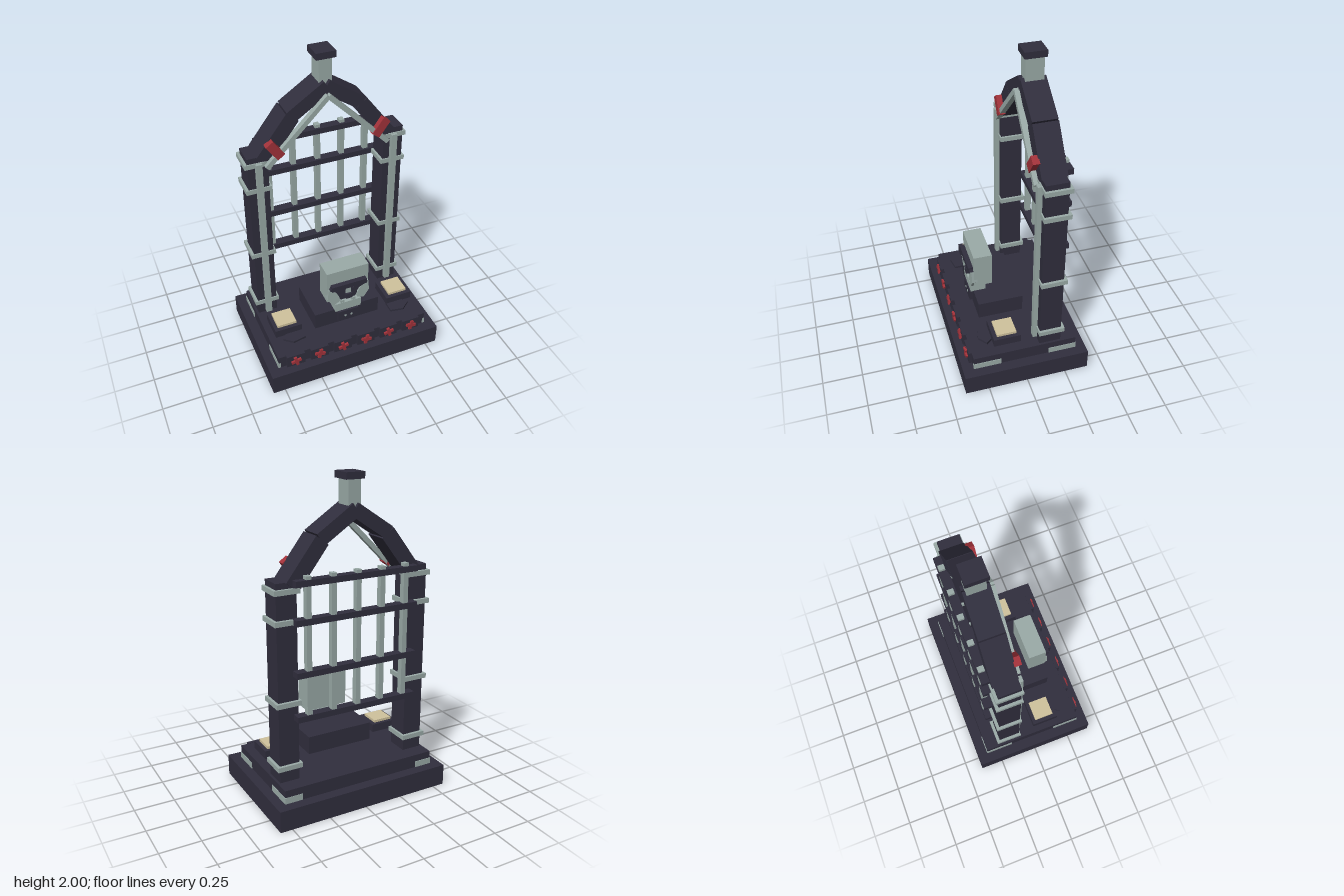
import * as THREE from 'three';

export function createModel() {
  const model = new THREE.Group();
  model.name = 'forgeGate';
  const mat = (name, color) => {
    const m = new THREE.MeshStandardMaterial({ color });
    m.name = name;
    return m;
  };
  const dark = mat('dark iron', 0x302e3d);
  const steel = mat('pale steel', 0x9aaaa7);
  const red = mat('red enamel', 0xa2323a);
  const tan = mat('sand', 0xcfc29c);

  // box given by its limits on each axis
  const box = (name, m, [x0, x1], [y0, y1], [z0, z1]) => {
    const b = new THREE.Mesh(new THREE.BoxGeometry(x1 - x0, y1 - y0, z1 - z0), m);
    b.position.set((x0 + x1) / 2, (y0 + y1) / 2, (z0 + z1) / 2);
    b.name = name;
    model.add(b);
    return b;
  };
  // bar running between two points in the front plane
  const beam = (name, m, [ax, ay], [bx, by], width, z) => {
    const h = Math.hypot(bx - ax, by - ay) / 2, x = (ax + bx) / 2, y = (ay + by) / 2;
    const b = box(name, m, [x - h, x + h], [y - width / 2, y + width / 2], z);
    b.rotation.z = Math.atan2(by - ay, bx - ax);
    return b;
  };
  // flat outline extruded along z
  const plate = (name, m, points, z0, z1) => {
    const shape = new THREE.Shape(points.map(([x, y]) => new THREE.Vector2(x, y)));
    const p = new THREE.Mesh(new THREE.ExtrudeGeometry(shape, { depth: z1 - z0, bevelEnabled: false }), m);
    p.position.z = z0;
    p.name = name;
    model.add(p);
    return p;
  };
  const span = (s, a, b) => (s > 0 ? [a, b] : [-b, -a]);

  // stepped base
  box('base', dark, [-0.577, 0.577], [0, 0.135], [-0.4, 0.4]);
  box('plinth', dark, [-0.512, 0.512], [0.135, 0.22], [-0.333, 0.33]);

  // front tiles with red crosses
  for (let i = 0; i < 6; i++) {
    const x = (i - 2.5) * 0.161;
    box('frontTile', dark, [x - 0.06, x + 0.06], [0.138, 0.222], [0.325, 0.35]);
    const a = 0.25 * (i % 2 ? -1 : 1);
    for (const turn of [a, a + Math.PI / 2]) {
      const bar = box('crossBar', red, [x - 0.034, x + 0.034], [0.169, 0.189], [0.348, 0.363]);
      bar.rotation.z = turn;
    }
  }

  for (const s of [-1, 1]) {
    // plinth corner plates
    box('cornerPlate', steel, span(s, 0.5, 0.516), [0.136, 0.175], [0.155, 0.332]);
    box('cornerPlate', steel, span(s, 0.5, 0.516), [0.136, 0.175], [-0.336, -0.155]);
    box('cornerPlate', steel, span(s, 0.4, 0.515), [0.136, 0.175], [-0.337, -0.325]);

    // column with bands and front strip
    box('column', dark, span(s, 0.37, 0.497), [0.22, 1.432], [-0.236, -0.098]);
    box('columnStrip', steel, span(s, 0.412, 0.45), [0.235, 1.395], [-0.1, -0.07]);
    for (const y of [0.315, 0.715, 1.205, 1.382])
      box('columnBand', steel, span(s, 0.355, 0.514), [y - 0.015, y + 0.015], [-0.255, -0.09]);

    // gable beams, braces and clamps
    beam('lowerRafter', dark, [s * 0.40, 1.40], [s * 0.213, 1.645], 0.095, [-0.247, -0.094]);
    beam('upperRafter', dark, [s * 0.222, 1.646], [s * -0.005, 1.796], 0.083, [-0.246, -0.095]);
    beam('brace', steel, [s * 0.385, 1.362], [0, 1.748], 0.03, [-0.1, -0.065]);
    beam('clamp', red, [s * 0.368, 1.522], [s * 0.298, 1.425], 0.055, [-0.1, -0.058]);

    // side tray with sand
    box('tray', dark, span(s, 0.3, 0.477), [0.255, 0.308], [0.018, 0.19]);
    box('traySand', tan, span(s, 0.327, 0.453), [0.3, 0.325], [0.04, 0.165]);
    const tongue = plate('trayTongue', dark,
      [[0.3, -0.18], [0.3, -0.255], [0.385, -0.27], [0.44, -0.225], [0.405, -0.18]].map(([x, y]) => [s * x, y]),
      0, 0.014);
    tongue.rotation.x = -Math.PI / 2;
    tongue.position.set(0, 0.248, 0);
  }

  // ridge post
  box('ridgePost', steel, [-0.04, 0.04], [1.8, 1.962], [-0.228, -0.118]);
  box('ridgeCap', dark, [-0.06, 0.06], [1.96, 2], [-0.238, -0.106]);

  // grille
  for (const y of [0.625, 0.895, 1.205, 1.427])
    box('grilleRail', dark, [-0.4, 0.4], [y - 0.018, y + 0.018], [-0.292, -0.236]);
  for (let i = -2; i <= 2; i++)
    box('grilleBar', steel, [i * 0.16 - 0.016, i * 0.16 + 0.016], [0.61, 1.465], [-0.287, -0.25]);

  // bench and its riveted front plate
  box('bench', dark, [-0.22, 0.22], [0.265, 0.38], [-0.07, 0.22]);
  box('benchPlate', dark, [-0.07, 0.07], [0.29, 0.368], [0.215, 0.243]);
  for (const s of [-1, 1])
    box('rivet', steel, span(s, 0.014, 0.026), [0.322, 0.334], [0.242, 0.247]);

  // mask on the bench
  box('headBlock', steel, [-0.14, 0.14], [0.47, 0.7], [0.108, 0.225]);
  box('jaw', steel, [-0.088, 0.088], [0.378, 0.44], [0.14, 0.238]);
  plate('facePlate', dark, [[-0.11, 0.58], [-0.05, 0.465], [0.05, 0.465], [0.11, 0.58]], 0.2, 0.23);
  box('brow', dark, [-0.118, 0.118], [0.572, 0.607], [0.224, 0.256]);
  box('nose', steel, [-0.018, 0.018], [0.515, 0.565], [0.228, 0.238]);
  box('noseTip', dark, [-0.022, 0.022], [0.478, 0.515], [0.228, 0.25]);
  for (const s of [-1, 1]) {
    const pts = [[0.135, 0.575], [0.09, 0.555], [0.062, 0.5], [0.06, 0.462], [0.105, 0.442], [0.142, 0.5]];
    plate('cheek', steel, pts.map(([x, y]) => [s * x, y]), 0.205, 0.24);
    beam('eyeLid', dark, [s * 0.12, 0.592], [s * 0.03, 0.545], 0.03, [0.226, 0.25]);
    box('tooth', steel, span(s, 0.025, 0.05), [0.435, 0.46], [0.21, 0.236]);
  }
  return model;
}
